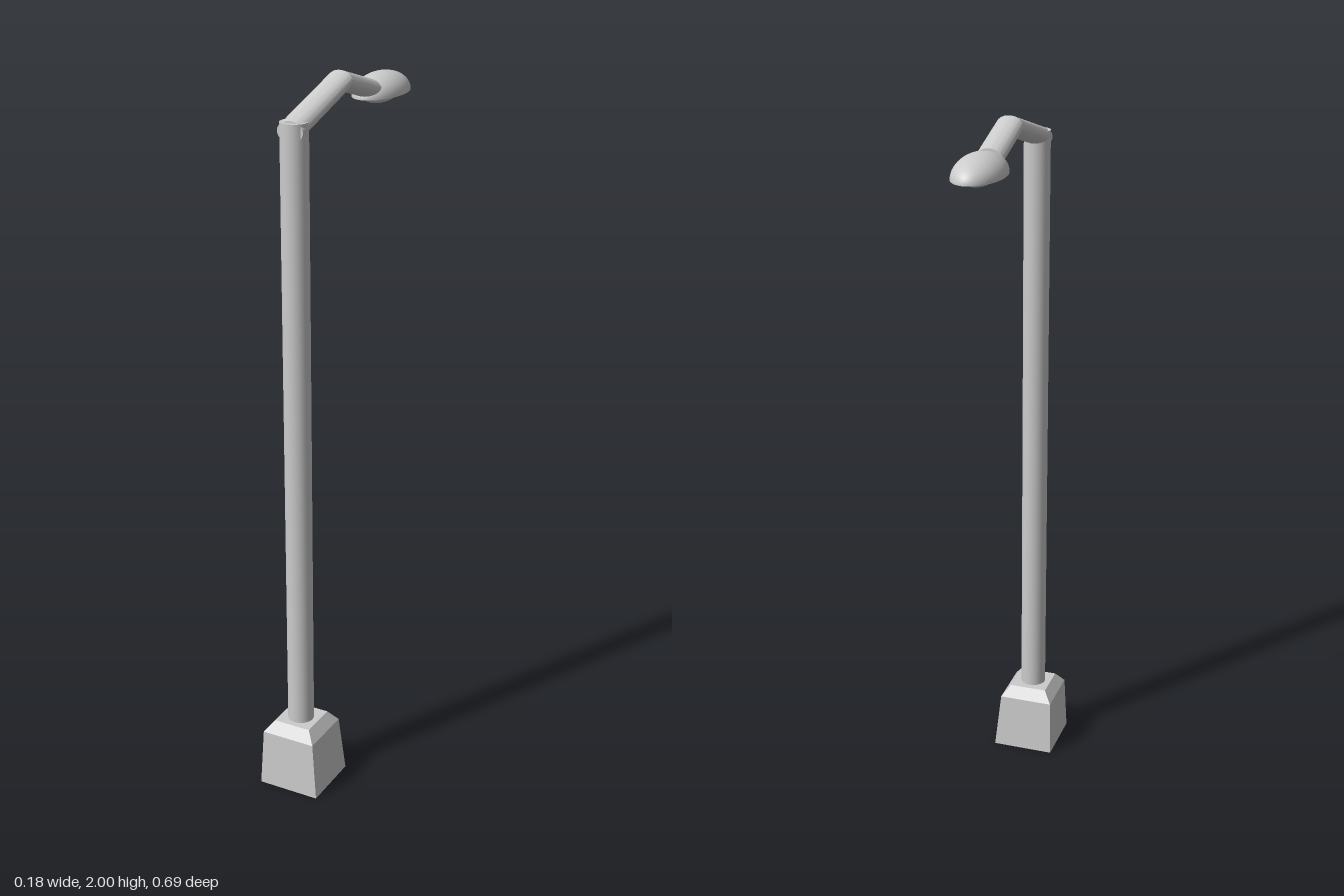
import * as THREE from 'three';
import { toCreasedNormals } from 'three/addons/utils/BufferGeometryUtils.js';

const material = new THREE.MeshStandardMaterial({ color: 0xcccccc });
const CX = -0.005; // axis of pole, arm and lamp

// Move every vertex of a geometry by a rule
function reshape(geometry, rule) {
  const pos = geometry.attributes.position;
  const v = new THREE.Vector3();
  for (let i = 0; i < pos.count; i++) {
    rule(v.fromBufferAttribute(pos, i));
    pos.setXYZ(i, v.x, v.y, v.z);
  }
  return toCreasedNormals(geometry, 0.26);
}

// Half ellipsoid closed by a flat disc; sign +1 is a dome, -1 a bowl
function halfEllipsoid(name, rx, ry, rz, sign) {
  const group = new THREE.Group();
  group.name = name;
  const shell = new THREE.SphereGeometry(1, 48, 14, 0, Math.PI * 2, sign > 0 ? 0 : Math.PI / 2, Math.PI / 2);
  const disc = new THREE.CircleGeometry(1, 48).rotateX(sign * Math.PI / 2);
  for (const [part, geometry] of [['Shell', shell], ['Disc', disc]]) {
    geometry.scale(rx, ry, rz);
    const mesh = new THREE.Mesh(geometry, material);
    mesh.name = name + part;
    group.add(mesh);
  }
  return group;
}

export function createModel() {
  const model = new THREE.Group();
  model.name = 'streetLamp';
  const add = (name, geometry) => {
    const mesh = new THREE.Mesh(geometry, material);
    mesh.name = name;
    model.add(mesh);
  };

  // Tapered square base with a chamfered top: [y, centre x, centre z, half width]
  const sections = [
    [0, 0, 0.255, 0.09],
    [0.165, -0.005, 0.256, 0.079],
    [0.197, -0.005, 0.256, 0.055],
  ];
  add('base', reshape(new THREE.BoxGeometry(2, 2, 2, 1, 2, 1), (v) => {
    const [y, cx, cz, half] = sections[Math.round(v.y + 1)];
    v.set(cx + v.x * half, y, cz + v.z * half);
  }));

  // Round pole
  add('pole', new THREE.CylinderGeometry(0.037, 0.037, 1.725, 32).translate(CX, 1.0525, 0.257));

  // Bent arm with an oval section: [z, y] at the pole, the bend and the lamp
  const bends = [[0.279, 1.893], [0.015, 1.973], [-0.15, 1.922]];
  add('arm', reshape(new THREE.CylinderGeometry(1, 1, 2, 32, 2).rotateX(-Math.PI / 2), (v) => {
    const [z, y] = bends[Math.round(1 - v.z)];
    v.set(CX + v.x * 0.037, y + v.y * 0.027, z);
  }));

  // Lamp head with a shallow lens underneath
  const head = halfEllipsoid('lampHead', 0.067, 0.057, 0.119, 1);
  head.position.set(CX - 0.002, 1.898, -0.226);
  const lens = halfEllipsoid('lens', 0.04, 0.026, 0.08, -1);
  lens.position.set(CX - 0.002, 1.899, -0.222);
  model.add(head, lens);

  return model;
}
